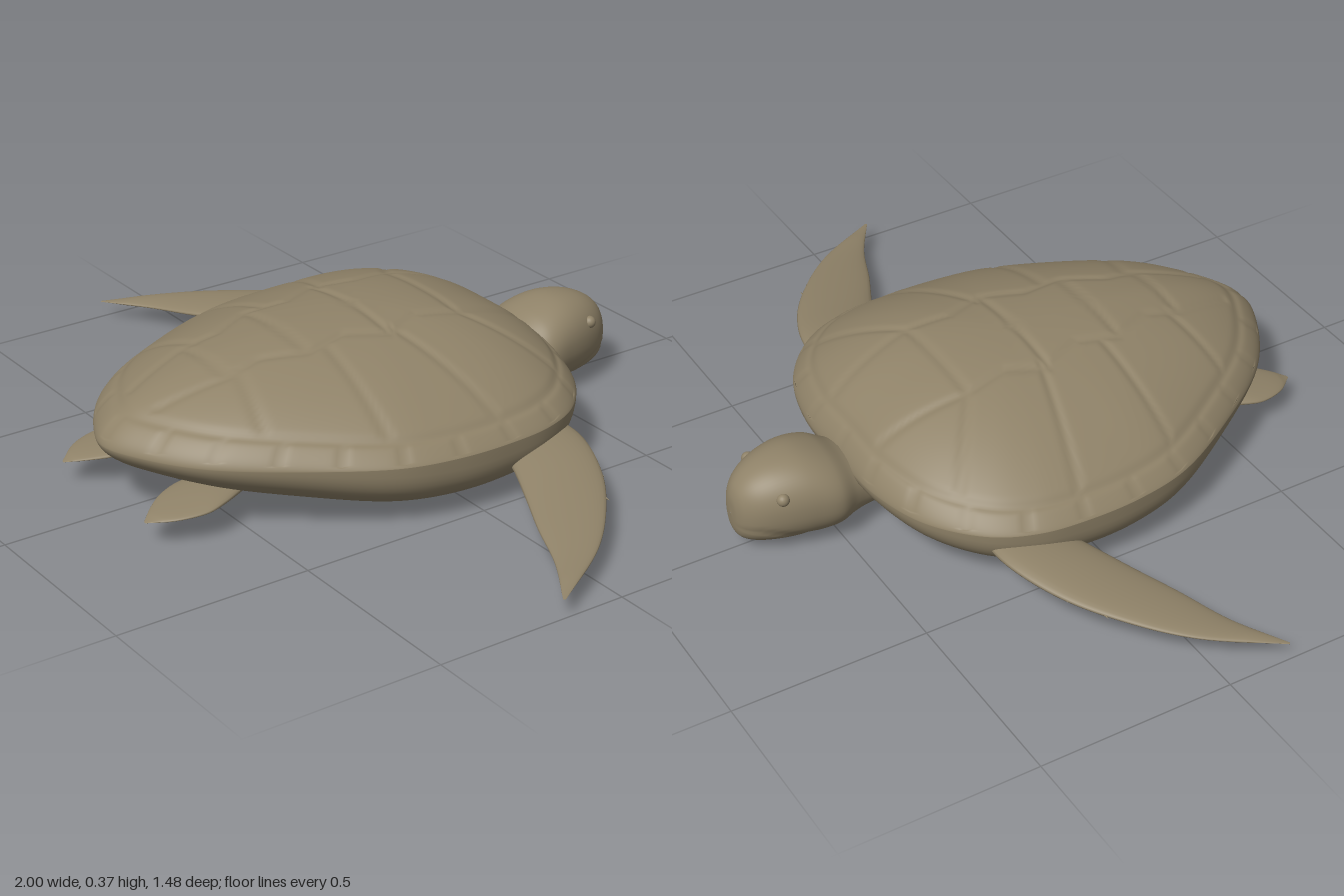
import * as THREE from 'three';

const V = (x, y, z) => new THREE.Vector3(x, y, z);
const skin = new THREE.MeshStandardMaterial({ color: 0x8f8268 });
skin.name = 'olive brown';

// Closed surface through rings of points; faces always end up pointing outwards.
function loft(rings) {
  const n = rings[0].length, pos = [], idx = [];
  rings.forEach(r => r.forEach(p => pos.push(p.x, p.y, p.z)));
  for (let i = 0; i < rings.length - 1; i++) {
    for (let j = 0; j < n; j++) {
      const k = (j + 1) % n, a = i * n + j, b = i * n + k, c = a + n, d = b + n;
      idx.push(a, b, d, a, d, c);
    }
  }
  const at = i => V(pos[3 * i], pos[3 * i + 1], pos[3 * i + 2]);
  let volume = 0;
  for (let i = 0; i < idx.length; i += 3) volume += at(idx[i]).dot(at(idx[i + 1]).cross(at(idx[i + 2])));
  if (volume < 0) idx.reverse();
  const g = new THREE.BufferGeometry();
  g.setAttribute('position', new THREE.Float32BufferAttribute(pos, 3));
  g.setIndex(idx);
  g.computeVertexNormals();
  return g;
}

function add(group, name, geometry) {
  const m = new THREE.Mesh(geometry, skin);
  m.name = name;
  group.add(m);
  return m;
}

// Seams between the scutes on one half: x, z to x, z
const seams = [
  [0, -0.18, 0.15, -0.18], [0, 0.035, 0.17, 0.035], [0, 0.25, 0.14, 0.25], [0, 0.45, 0.1, 0.45],
  [0.11, -0.43, 0.15, -0.18], [0.15, -0.18, 0.13, -0.07], [0.13, -0.07, 0.17, 0.035],
  [0.17, 0.035, 0.12, 0.14], [0.12, 0.14, 0.14, 0.25], [0.14, 0.25, 0.09, 0.36],
  [0.09, 0.36, 0.1, 0.45], [0.1, 0.45, 0.06, 0.62],
  [0.15, -0.18, 0.36, -0.33], [0.15, 0.02, 0.48, -0.07], [0.13, 0.2, 0.43, 0.22], [0.09, 0.42, 0.29, 0.47],
];
function seamDistance(x, z) {
  let best = 1;
  for (const [ax, az, bx, bz] of seams) {
    const dx = bx - ax, dz = bz - az;
    const t = THREE.MathUtils.clamp(((x - ax) * dx + (z - az) * dz) / (dx * dx + dz * dz), 0, 1);
    best = Math.min(best, Math.hypot(x - ax - t * dx, z - az - t * dz));
  }
  return best;
}
const groove = (d, w) => Math.exp(-(d * d) / (w * w));

// Domed shell and plastron, swept from the top centre over the rim to the belly
function shellGeometry() {
  const half = [[0.17, -0.455], [0.33, -0.405], [0.45, -0.3], [0.5, -0.19], [0.515, -0.06], [0.51, 0.08],
    [0.48, 0.22], [0.385, 0.4], [0.24, 0.6], [0.1, 0.7]];
  const outline = [[0, -0.46], ...half, [0, 0.735], ...half.map(([x, z]) => [-x, z]).reverse()];
  const N = 240;
  const rim = new THREE.CatmullRomCurve3(outline.map(([x, z]) => V(x, 0, z)), true).getSpacedPoints(N).slice(0, N);
  const ring = (r, top) => rim.map((p, j) => {
    const k = p.z * p.z / (p.x * p.x + p.z * p.z);
    const x = p.x * r, z = p.z * r, rimY = 0.168 + 0.012 * k * (p.z > 0 ? 1 : 0);
    const mix = (a, b) => a + (b - a) * k;
    if (!top) {
      const f = Math.pow(Math.max(0, 1 - Math.pow(r, mix(4, 2))), mix(0.32, 0.6));
      return V(x, rimY - (rimY - 0.004) * f, z);
    }
    const f = Math.pow(Math.max(0, 1 - Math.pow(r, mix(2, 2.3))), mix(0.88, 0.6));
    let cut = r < 0.91 ? groove(seamDistance(Math.abs(x), z), 0.011) : 0;
    cut = Math.max(cut, groove(r - 0.91, 0.018));
    if (r > 0.91 && r < 0.99) cut = Math.max(cut, groove((j + 5) % 10 - 5, 0.7));
    return V(x, rimY + (0.37 - rimY) * f - 0.005 * cut, z);
  });
  const rings = [];
  for (let i = 0; i <= 75; i++) rings.push(ring(Math.sin(i / 75 * Math.PI / 2), true));
  for (let i = 29; i >= 0; i--) rings.push(ring(Math.sin(i / 30 * Math.PI / 2), false));
  return loft(rings);
}

// Head and neck: z, bottom, top, half width
function headGeometry() {
  const s = [[-0.2, 0.07, 0.15, 0.07], [-0.3, 0.045, 0.17, 0.095], [-0.42, 0.035, 0.18, 0.1],
    [-0.46, 0.03, 0.195, 0.11], [-0.51, 0.02, 0.222, 0.13], [-0.58, 0.017, 0.24, 0.123],
    [-0.65, 0.02, 0.233, 0.104], [-0.7, 0.028, 0.212, 0.08], [-0.728, 0.04, 0.187, 0.055],
    [-0.741, 0.06, 0.16, 0.032], [-0.746, 0.11, 0.112, 0.001]];
  const size = new THREE.CatmullRomCurve3(s.map(([z, b, t]) => V(b, t, z)));
  const width = new THREE.CatmullRomCurve3(s.map(([z, , , w]) => V(w, 0, z)));
  const rings = [s[0]].map(([z, b, t]) => Array.from({ length: 64 }, () => V(0, (b + t) / 2, z)));
  for (let i = 0; i <= 80; i++) {
    const p = size.getPoint(i / 80), w = width.getPoint(i / 80).x;
    const cy = (p.x + p.y) / 2, h = (p.y - p.x) / 2;
    rings.push(Array.from({ length: 64 }, (_, j) => {
      const a = j / 64 * Math.PI * 2, c = Math.cos(a), sn = Math.sin(a);
      const y = cy + h * Math.sign(sn) * Math.pow(Math.abs(sn), 0.9);
      // Mouth line pressed into the beak, dropping towards its corners
      const mouth = p.z < -0.57 ? groove(y - 0.085 + 0.35 * Math.max(0, p.z + 0.7), 0.007) : 0;
      return V(w * Math.sign(c) * Math.pow(Math.abs(c), 0.9) * (1 - 0.05 * mouth), y, p.z);
    }));
  }
  return loft(rings);
}

// Flat fin between a leading and a trailing edge
function finGeometry(lead, trail, thickness, side) {
  const curve = pts => new THREE.CatmullRomCurve3(pts.map(p => V(p[0] * side, p[1], p[2])));
  const L = curve(lead), T = curve(trail), rings = [];
  for (let i = 0; i <= 40; i++) {
    const t = i / 40, a = L.getPoint(t), b = T.getPoint(t);
    const mid = a.clone().add(b).multiplyScalar(0.5), chord = a.sub(b).multiplyScalar(0.5);
    const th = i === 0 ? 0 : thickness * (1 - 0.85 * t) * Math.min(1, chord.length() / 0.03);
    rings.push(Array.from({ length: 28 }, (_, j) => {
      const u = j / 28 * Math.PI * 2;
      return mid.clone().addScaledVector(chord, i === 0 ? 0 : Math.cos(u)).add(V(0, th * Math.sin(u), 0));
    }));
  }
  return loft(rings);
}

export function createModel() {
  const turtle = new THREE.Group();
  turtle.name = 'seaTurtle';
  add(turtle, 'shell', shellGeometry());
  add(turtle, 'headAndNeck', headGeometry());

  for (const side of [1, -1]) {
    const name = part => (side > 0 ? 'left' : 'right') + part;
    add(turtle, name('FrontFlipper'), finGeometry(
      [[0.34, 0.12, -0.29], [0.5, 0.118, -0.288], [0.65, 0.1, -0.23], [0.78, 0.083, -0.135], [0.89, 0.067, -0.02], [1, 0.05, 0.162]],
      [[0.34, 0.1, -0.14], [0.51, 0.095, -0.075], [0.63, 0.082, -0.02], [0.74, 0.07, 0.033], [0.87, 0.058, 0.088], [0.995, 0.05, 0.165]],
      0.03, side));
    add(turtle, name('RearFlipper'), finGeometry(
      [[0.2, 0.09, 0.45], [0.25, 0.085, 0.56], [0.26, 0.08, 0.61], [0.24, 0.073, 0.68], [0.192, 0.063, 0.738]],
      [[0.12, 0.09, 0.45], [0.095, 0.085, 0.58], [0.115, 0.08, 0.65], [0.145, 0.073, 0.695], [0.185, 0.063, 0.738]],
      0.02, side));

    // Small claws on the leading edge
    for (const [x, y, z] of [[0.645, 0.098, -0.223], [0.73, 0.088, -0.168]]) {
      const claw = add(turtle, name('Claw'), new THREE.ConeGeometry(0.008, 0.045, 8));
      claw.position.set(x * side, y, z);
      claw.rotation.z = -side * Math.PI / 2;
    }

    const eye = add(turtle, name('Eye'), new THREE.SphereGeometry(0.016, 20, 14));
    eye.position.set(0.092 * side, 0.175, -0.65);
  }
  return turtle;
}
